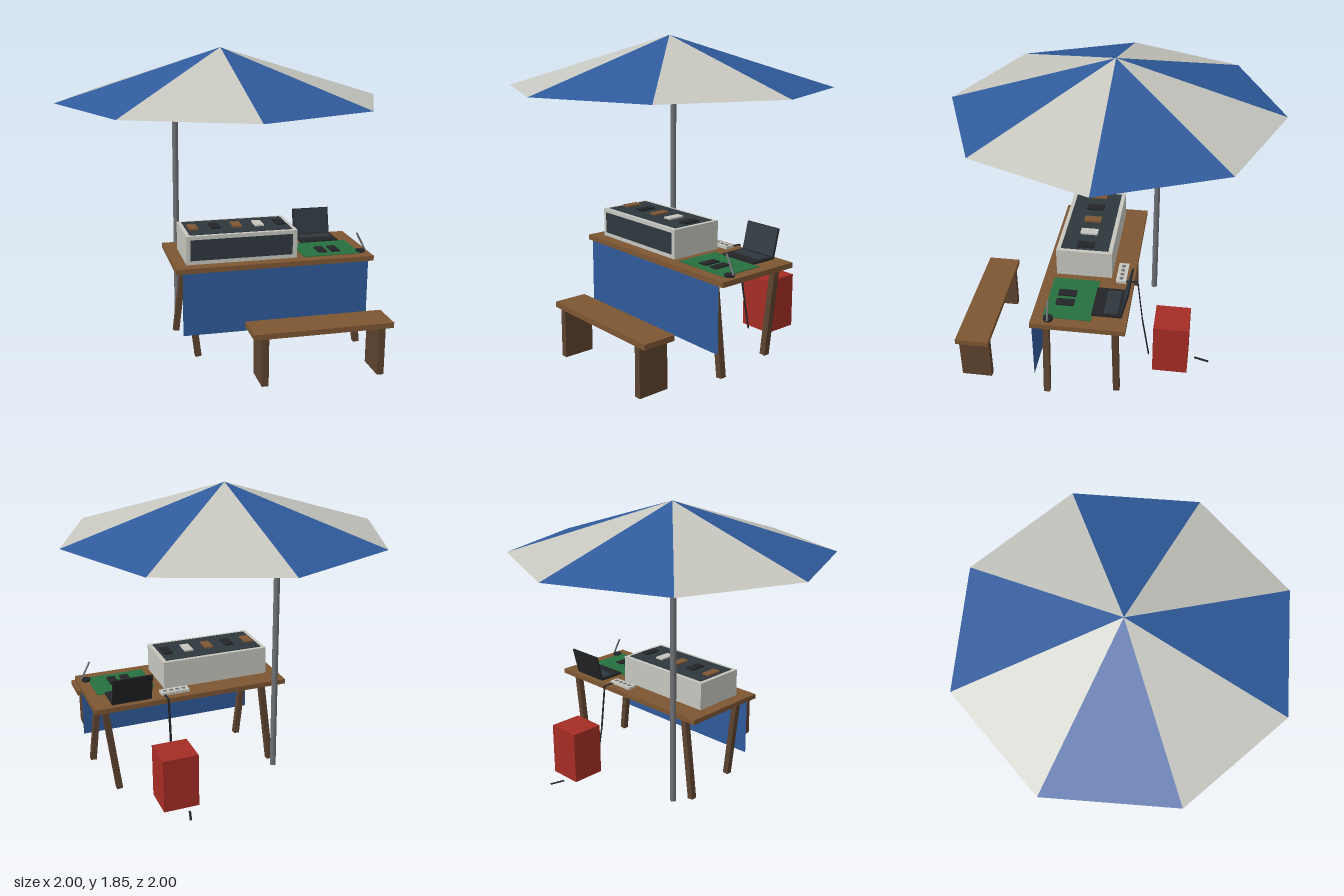
import * as THREE from 'three';

const mat = (name, color, extra = {}) => {
  const m = new THREE.MeshStandardMaterial({ color, ...extra });
  m.name = name;
  return m;
};

export function createModel() {
  const root = new THREE.Group();
  root.name = 'marketStall';
  const both = { side: THREE.DoubleSide };
  const blue = mat('blue cloth', 0x2f5a9b, both);
  const white = mat('off white', 0xc6c6bf, both);
  const wood = mat('wood', 0x7d5632);
  const darkWood = mat('dark wood', 0x5d432f);
  const metal = mat('grey metal', 0x6e7175);
  const black = mat('black plastic', 0x222427);
  const glass = mat('dark glass', 0x2e373d);
  const red = mat('red', 0xa52c24);
  const green = mat('green mat', 0x267040);

  const add = (name, geo, material, x, y, z, parent = root) => {
    const mesh = new THREE.Mesh(geo, material);
    mesh.name = name;
    mesh.position.set(x, y, z);
    parent.add(mesh);
    return mesh;
  };
  // Box given by its minimum and maximum corners
  const box = (name, m, [x0, y0, z0], [x1, y1, z1], parent) =>
    add(name, new THREE.BoxGeometry(x1 - x0, y1 - y0, z1 - z0), m,
      (x0 + x1) / 2, (y0 + y1) / 2, (z0 + z1) / 2, parent);
  // Flat strip between two points
  const strip = (name, m, a, b, width, thick) => {
    const p = new THREE.Vector3(...a), q = new THREE.Vector3(...b);
    const mid = p.clone().add(q).multiplyScalar(0.5);
    const s = add(name, new THREE.BoxGeometry(width, thick, p.distanceTo(q)), m, mid.x, mid.y, mid.z);
    s.lookAt(q);
    return s;
  };

  // Umbrella: eight alternating panels and an offset pole
  const canopy = new THREE.Group();
  canopy.name = 'canopy';
  root.add(canopy);
  for (let i = 0; i < 8; i++) {
    const geo = new THREE.ConeGeometry(1, 0.31, 1, 1, true, i * Math.PI / 4, Math.PI / 4).toNonIndexed();
    geo.computeVertexNormals();
    add('canopyPanel', geo, i % 2 ? white : blue, 0, 1.695, 0, canopy);
  }
  add('pole', new THREE.CylinderGeometry(0.019, 0.019, 1.57, 12), metal, -0.243, 0.815, -0.24);

  // Table with splayed legs
  box('tableTop', wood, [-0.35, 0.557, -0.17], [0.89, 0.588, 0.38]);
  for (const x of [-0.243, 0.783]) for (const side of [-1, 1]) {
    const leg = add('tableLeg', new THREE.BoxGeometry(0.038, 0.56, 0.038), darkWood, x, 0.281, 0.105 + side * 0.208);
    leg.rotation.z = side * 0.12;
  }
  add('frontCloth', new THREE.PlaneGeometry(1.165, 0.395), blue, 0.272, 0.362, 0.377);

  // Bench
  box('benchSeat', wood, [0, 0.315, 0.66], [0.825, 0.347, 0.86]);
  for (const x of [0.068, 0.757])
    box('benchLeg', darkWood, [x - 0.02, 0.03, 0.67], [x + 0.02, 0.315, 0.855]);

  // Display case with glass faces and goods on top
  const display = new THREE.Group();
  display.name = 'displayCase';
  root.add(display);
  box('caseBody', white, [-0.275, 0.588, -0.03], [0.415, 0.765, 0.31], display);
  box('caseFrontGlass', glass, [-0.25, 0.613, 0.309], [0.385, 0.742, 0.313], display);
  box('caseTopGlass', glass, [-0.25, 0.764, -0.005], [0.39, 0.768, 0.285], display);
  [wood, black, wood, white, black].forEach((m, i) => {
    const x = -0.207 + i * 0.138;
    box('phoneOnCase', m, [x - 0.028, 0.768, 0.085], [x + 0.028, 0.778, 0.192], display);
  });

  // Laptop
  const laptop = new THREE.Group();
  laptop.name = 'laptop';
  root.add(laptop);
  box('laptopBase', black, [0.53, 0.588, -0.135], [0.777, 0.6, 0.04], laptop);
  box('keyboard', glass, [0.55, 0.6, -0.11], [0.757, 0.602, -0.03], laptop);
  const lid = new THREE.Group();
  lid.name = 'laptopLid';
  lid.position.set(0.6535, 0.597, -0.133);
  lid.rotation.x = -0.24;
  laptop.add(lid);
  box('lidShell', black, [-0.1235, 0, -0.005], [0.1235, 0.172, 0.005], lid);
  box('screen', glass, [-0.119, 0.006, 0.004], [0.119, 0.168, 0.007], lid);

  // Repair mat with phones and soldering iron
  box('workMat', green, [0.46, 0.586, 0.035], [0.825, 0.592, 0.315]);
  for (const x of [0.6, 0.685])
    box('phoneOnMat', black, [x - 0.027, 0.592, 0.155], [x + 0.027, 0.6, 0.262]);
  add('ironStand', new THREE.CylinderGeometry(0.029, 0.029, 0.014, 16), black, 0.838, 0.595, 0.28);
  const iron = add('solderingIron', new THREE.CylinderGeometry(0.006, 0.006, 0.125, 8), metal, 0.84, 0.656, 0.28);
  iron.rotation.z = 0.48;

  // Power strip and its flat cable
  box('powerStrip', white, [0.28, 0.588, -0.122], [0.46, 0.605, -0.06]);
  for (let i = 0; i < 4; i++)
    box('socket', metal, [0.3 + i * 0.04, 0.604, -0.102], [0.322 + i * 0.04, 0.607, -0.08]);
  const path = [[0.44, 0.592, -0.12], [0.44, 0.592, -0.192], [0.443, 0.3, -0.225], [0.453, 0.03, -0.27]];
  for (let i = 0; i < 3; i++) strip('cable', black, path[i], path[i + 1], 0.014, 0.004);
  strip('cableTail', black, [0.445, 0.029, -0.56], [0.47, 0.029, -0.65], 0.014, 0.004);

  // Storage box behind the table
  box('storageBox', red, [0.37, 0.03, -0.52], [0.59, 0.368, -0.305]);

  return root;
}
